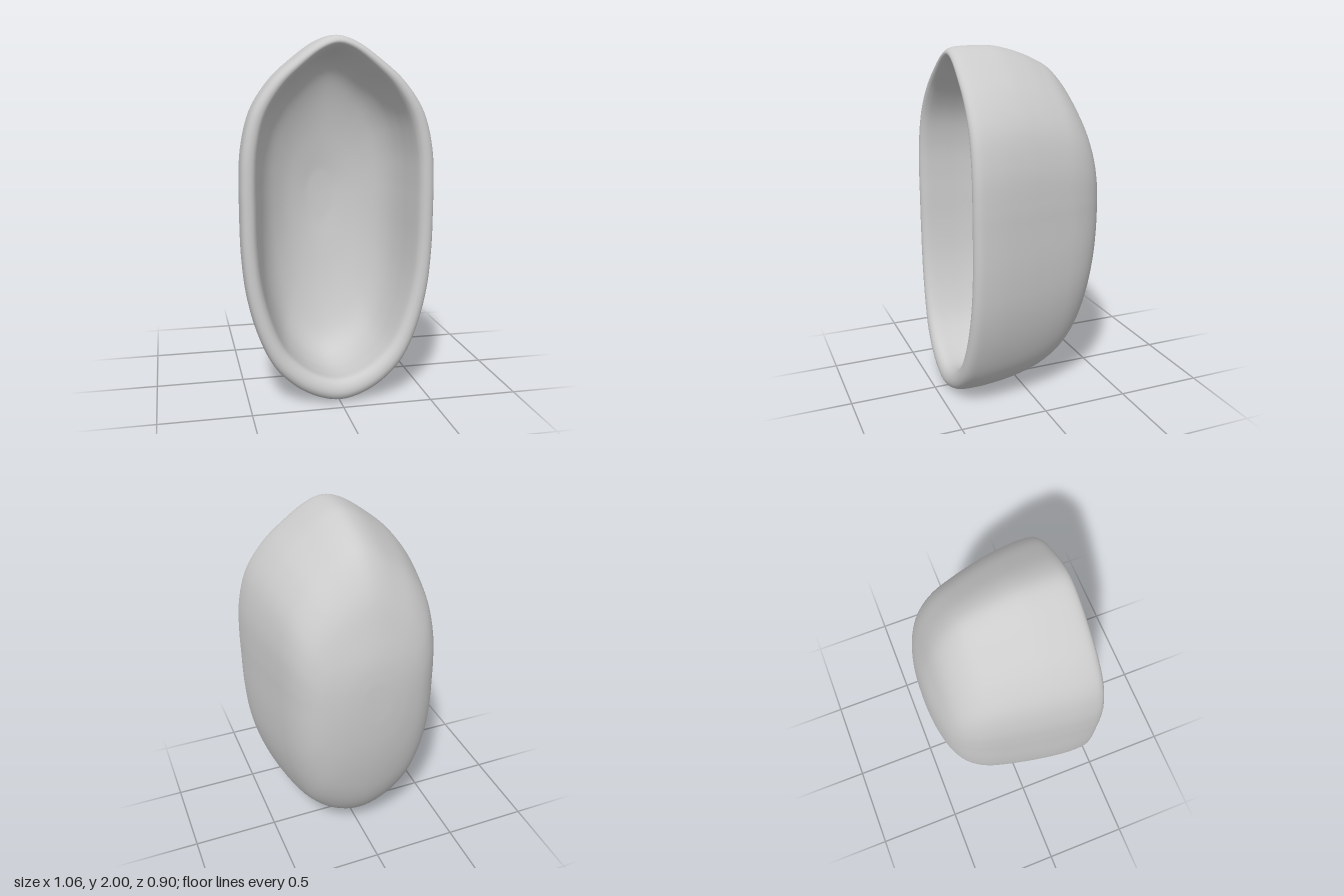
import * as THREE from 'three';

const MID = 1.1; // height of the deepest point of the shell

// Right half of the rim outline in unit form, bottom to top
const HALF = [
  [0, -1], [0.24, -0.975], [0.48, -0.908], [0.69, -0.8], [0.845, -0.636], [0.948, -0.44],
  [0.992, -0.23], [1, 0], [1, 0.13], [0.978, 0.34], [0.885, 0.555],
  [0.685, 0.735], [0.43, 0.87], [0.18, 0.97], [0, 1],
];

// Sections from the outer back, over the lip, to the inner back: z, half width, top, bottom
const LEVELS = [
  [-0.45, 0, 1.1, 1.1], [-0.4493, 0.05, 1.18, 1.02], [-0.446, 0.11, 1.26, 0.93],
  [-0.432, 0.2, 1.37, 0.77], [-0.4, 0.295, 1.5, 0.58], [-0.35, 0.362, 1.66, 0.39],
  [-0.285, 0.407, 1.78, 0.245], [-0.2, 0.44, 1.875, 0.135], [-0.1, 0.464, 1.93, 0.07],
  [0, 0.485, 1.968, 0.035], [0.12, 0.508, 1.995, 0.012], [0.25, 0.527, 2, 0.001],
  [0.35, 0.531, 1.997, 0.004], [0.395, 0.523, 1.987, 0.02], [0.414, 0.5, 1.97, 0.05],
  [0.412, 0.472, 1.954, 0.085], [0.393, 0.453, 1.942, 0.115], [0.36, 0.442, 1.932, 0.128],
  [0.28, 0.428, 1.92, 0.125], [0.18, 0.41, 1.905, 0.13], [0.08, 0.38, 1.875, 0.165],
  [0, 0.335, 1.805, 0.25], [-0.06, 0.275, 1.68, 0.4], [-0.11, 0.2, 1.5, 0.61],
  [-0.148, 0.1, 1.28, 0.87], [-0.157, 0.05, 1.19, 0.985], [-0.16, 0, 1.1, 1.1],
];

// Smooth curve through points, evenly stepped between them
function spline(points, closed, type) {
  return new THREE.CatmullRomCurve3(points.map((p) => new THREE.Vector3(...p)), closed, type, 0.5);
}

function shellGeometry(segments, rings) {
  const left = HALF.slice(1, -1).reverse().map(([u, v]) => [-u, v]);
  const outline = spline([...HALF, ...left].map(([u, v]) => [u, v, 0]), true, 'centripetal');
  const widths = spline(LEVELS.map((l) => [l[0], l[1], 0]), false, 'catmullrom');
  const heights = spline(LEVELS.map((l) => [l[2], l[3], 0]), false, 'catmullrom');
  const positions = [];
  const index = [];

  for (let i = 0; i <= rings; i++) {
    const { x: z, y: width } = widths.getPoint(i / rings);
    const { x: top, y: bottom } = heights.getPoint(i / rings);
    // The sections become rounder as they close in on the back
    const round = 0.9 * (1 - THREE.MathUtils.smoothstep(width, 0.15, 0.43));
    // The rim leans: back at the tip, forward at the base
    const lean = 0.035 * THREE.MathUtils.smoothstep(z, 0, 0.38);
    for (let j = 0; j < segments; j++) {
      const p = outline.getPoint(j / segments);
      const angle = Math.atan2(p.y, p.x);
      const u = THREE.MathUtils.lerp(p.x, Math.cos(angle), round);
      const v = THREE.MathUtils.lerp(p.y, Math.sin(angle), round);
      positions.push(
        u * width,
        MID + v * (v > 0 ? top - MID : MID - bottom),
        z - lean * Math.sign(v) * Math.abs(v) ** 2.3,
      );
      if (i < rings) {
        const a = i * segments + j;
        const b = i * segments + ((j + 1) % segments);
        index.push(a, b, a + segments, b, b + segments, a + segments);
      }
    }
  }

  const geometry = new THREE.BufferGeometry();
  geometry.setAttribute('position', new THREE.Float32BufferAttribute(positions, 3));
  geometry.setIndex(index);
  geometry.computeVertexNormals();
  return geometry;
}

export function createModel() {
  const model = new THREE.Group();
  model.name = 'hollowPod';
  const material = new THREE.MeshStandardMaterial({ color: 0xcccccc });
  const shell = new THREE.Mesh(shellGeometry(140, 130), material);
  shell.name = 'shell';
  model.add(shell);
  return model;
}
